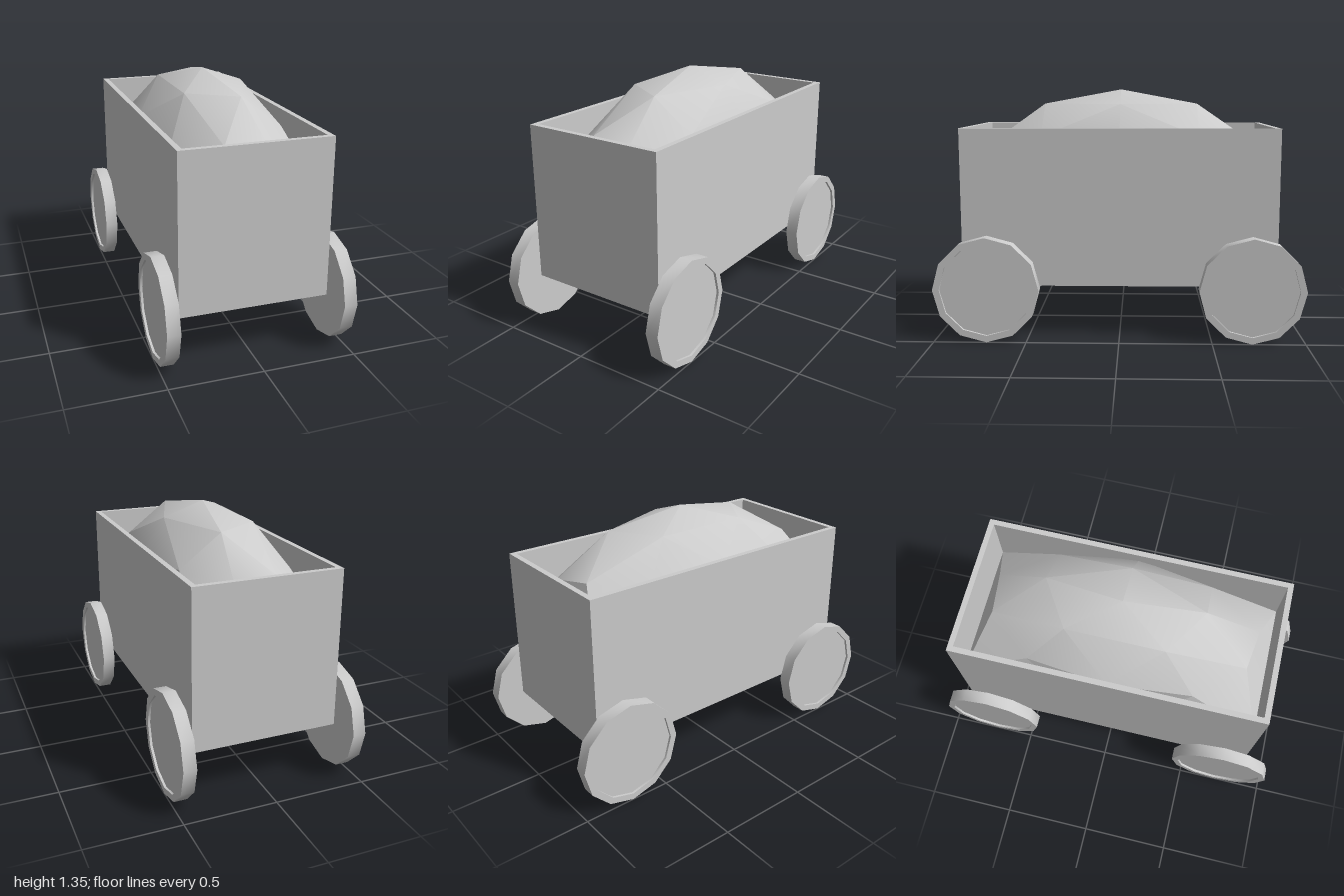
import * as THREE from 'three';
import { toCreasedNormals } from 'three/addons/utils/BufferGeometryUtils.js';

const material = new THREE.MeshStandardMaterial({ color: 0xcccccc });
const HALF_W = 0.4, HALF_L = 0.855, WALL = 0.03;
const BOTTOM = 0.29, TOP = 1.145;

function addMesh(parent, name, geometry) {
  const mesh = new THREE.Mesh(geometry, material);
  mesh.name = name;
  parent.add(mesh);
  return mesh;
}

function rectangle(PathType, w, l) {
  return new PathType([[-w, -l], [w, -l], [w, l], [-w, l]].map(([x, y]) => new THREE.Vector2(x, y)));
}

// Heap: a stretched faceted dome whose foot spreads out to the cart walls
function heapGeometry() {
  const rx = 0.437, ry = 0.537, rz = 0.86, cy = 0.813;
  const point = (degrees, r, h) => {
    const a = THREE.MathUtils.degToRad(degrees);
    return [rx * r * Math.cos(a), cy + ry * h, rz * r * Math.sin(a)];
  };
  const apex = point(0, 0, 1);
  const crown = [], shoulder = [], foot = [];
  for (let i = 0; i < 5; i++) crown.push(point(72 * i, 0.526, 0.851));
  for (let k = 0; k < 10; k++) {
    shoulder.push(k % 2 ? point(36 * k, 0.851, 0.526) : point(36 * k, 0.894, 0.447));
    // Points of the foot: four corners, plus points along the walls
    const [x, y, z] = point(18 + 36 * k, 1, 0);
    const w = HALF_W - WALL, l = HALF_L - WALL;
    foot.push([Math.abs(x) > 0.1 ? Math.sign(x) * w : 0, y, Math.abs(z) > 0.5 ? Math.sign(z) * l : z]);
  }
  const positions = [];
  const tri = (a, b, c) => positions.push(...a, ...b, ...c);
  for (let i = 0; i < 5; i++) {
    const j = (i + 1) % 5, e = 2 * i;
    tri(apex, crown[j], crown[i]);
    tri(crown[i], crown[j], shoulder[e + 1]);
    tri(crown[i], shoulder[e + 1], shoulder[e]);
    tri(crown[i], shoulder[e], shoulder[(e + 9) % 10]);
  }
  for (let k = 0; k < 10; k++) {
    const n = (k + 1) % 10;
    tri(shoulder[k], shoulder[n], foot[k]);
    tri(shoulder[n], foot[n], foot[k]);
  }
  const geometry = new THREE.BufferGeometry();
  geometry.setAttribute('position', new THREE.Float32BufferAttribute(positions, 3));
  return toCreasedNormals(geometry, Math.PI / 6);
}

// Wheel: twelve-sided disc with a raised rim on its outer face
function wheelGeometry() {
  const profile = [[0, -0.035], [0.286, -0.035], [0.286, 0.035], [0.25, 0.035], [0.25, 0.022], [0, 0.022]]
    .map(([x, y]) => new THREE.Vector2(x, y));
  return toCreasedNormals(new THREE.LatheGeometry(profile, 12), 0.6);
}

export function createModel() {
  const model = new THREE.Group();
  model.name = 'loadedCart';

  // Open cart body: four walls and a floor
  const outline = rectangle(THREE.Shape, HALF_W, HALF_L);
  outline.holes.push(rectangle(THREE.Path, HALF_W - WALL, HALF_L - WALL));
  const walls = new THREE.ExtrudeGeometry(outline, { depth: TOP - BOTTOM, bevelEnabled: false });
  walls.rotateX(-Math.PI / 2);
  addMesh(model, 'cartWalls', walls).position.y = BOTTOM;
  const floor = new THREE.BoxGeometry(2 * (HALF_W - WALL), WALL, 2 * (HALF_L - WALL));
  addMesh(model, 'cartFloor', floor).position.y = BOTTOM + WALL / 2;

  addMesh(model, 'heapedLoad', heapGeometry());

  // Four wheels, rim side outward
  const wheel = wheelGeometry();
  for (const [side, sx] of [['Left', 1], ['Right', -1]]) {
    for (const [end, sz] of [['front', 1], ['back', -1]]) {
      const mesh = addMesh(model, `${end}${side}Wheel`, wheel);
      mesh.rotation.z = -sx * Math.PI / 2;
      mesh.position.set(sx * 0.465, 0.286, sz * 0.714);
    }
  }
  return model;
}
